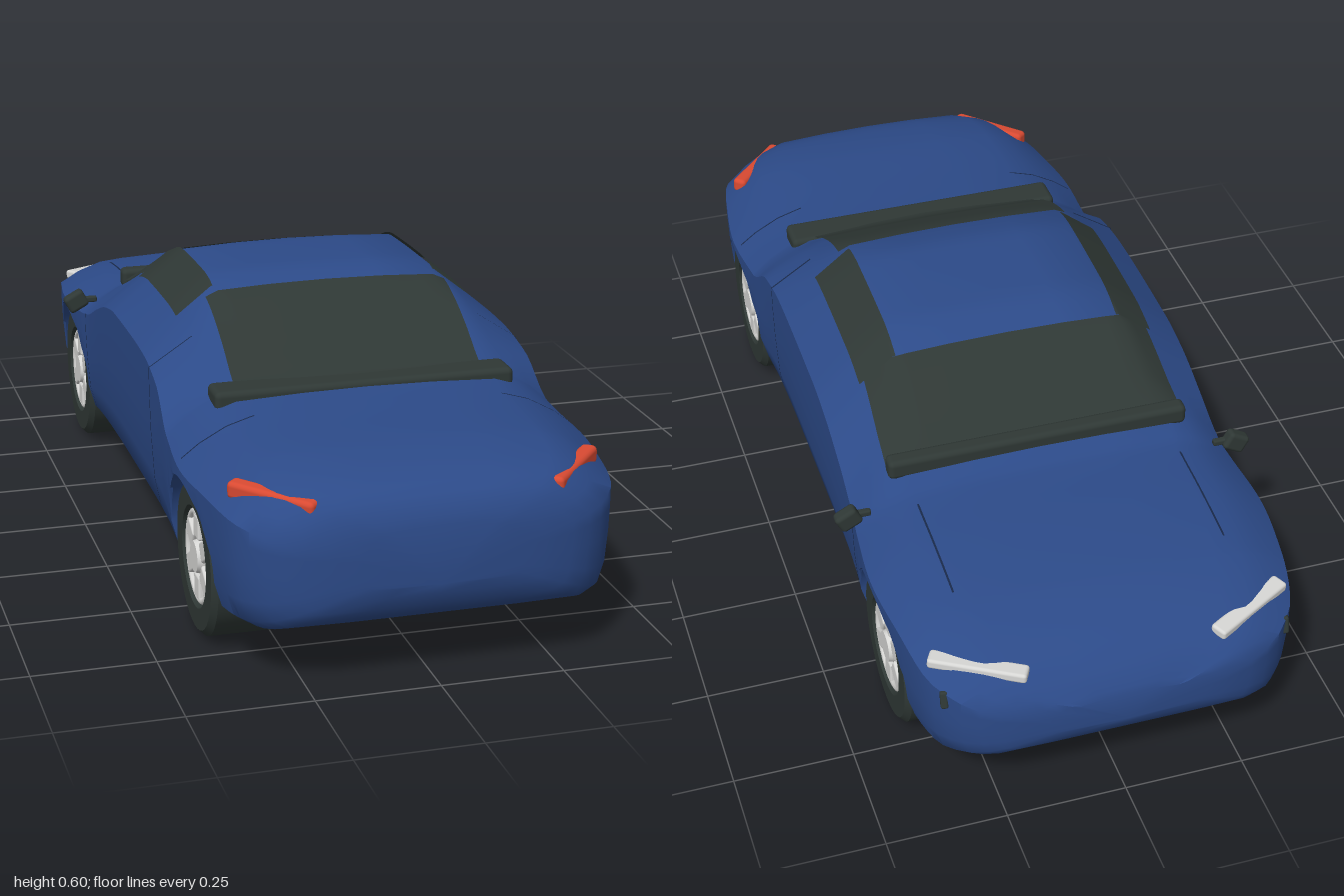
import * as THREE from 'three';
import { toCreasedNormals } from 'three/addons/utils/BufferGeometryUtils.js';
import { RoundedBoxGeometry } from 'three/addons/geometries/RoundedBoxGeometry.js';

const mat = (name, color, side = THREE.FrontSide) => {
  const m = new THREE.MeshStandardMaterial({ color, side });
  m.name = name;
  return m;
};
const paint = mat('blue paint', 0x2c4a88, THREE.DoubleSide);
const dark = mat('dark glass and rubber', 0x2f3835, THREE.DoubleSide);
const seamBlue = mat('seam navy', 0x182848, THREE.DoubleSide);
const red = mat('tail light red', 0xd94a32);
const silver = mat('silver', 0xd6d6d4);
const grey = mat('rim grey', 0x8c9090);

// Body stations: z, half width, underside y, shoulder y, roof edge x, top y
const stations = [
  [-1, .16, .2, .24, .1, .27], [-.985, .26, .165, .265, .16, .295],
  [-.95, .33, .133, .287, .2, .33], [-.88, .382, .108, .31, .23, .368],
  [-.78, .404, .098, .335, .25, .396], [-.62, .421, .095, .345, .27, .414],
  [-.48, .411, .095, .35, .28, .422], [-.42, .405, .095, .36, .29, .446],
  [-.32, .403, .095, .4, .27, .505], [-.2, .403, .095, .44, .25, .566],
  [-.1, .403, .095, .455, .24, .597], [.1, .403, .095, .458, .24, .602],
  [.2, .403, .095, .455, .25, .58], [.34, .405, .095, .43, .27, .512],
  [.46, .411, .095, .36, .28, .447], [.62, .421, .095, .345, .26, .437],
  [.78, .403, .098, .34, .26, .431], [.88, .383, .108, .332, .25, .418],
  [.95, .335, .13, .317, .22, .398], [.985, .265, .165, .3, .17, .368],
  [1, .16, .21, .28, .1, .33],
];
const WHEEL_Z = 0.625, ARCH_R = 0.167, AXLE_Y = 0.16;

// Smooth interpolation of one station column without overshoot
function sample(col, z) {
  const n = stations.length;
  let i = 0;
  while (i < n - 2 && z > stations[i + 1][0]) i++;
  const secant = k => (stations[k + 1][col] - stations[k][col]) / (stations[k + 1][0] - stations[k][0]);
  const slope = k => {
    if (k === 0) return secant(0);
    if (k === n - 1) return secant(n - 2);
    const a = secant(k - 1), b = secant(k);
    return a * b <= 0 ? 0 : 2 * a * b / (a + b);
  };
  const h = stations[i + 1][0] - stations[i][0], t = (z - stations[i][0]) / h, u = 1 - t;
  return u * u * (1 + 2 * t) * stations[i][col] + t * t * (3 - 2 * t) * stations[i + 1][col]
    + h * t * u * (u * slope(i) - t * slope(i + 1));
}

// Half cross-section from the underside centre to the top centre
function halfSection(z) {
  const [w, yb, ys, xt, yt] = [1, 2, 3, 4, 5].map(c => sample(c, z));
  const h = ys - yb, rise = yt - .008 - ys;
  const bulge = .014 * THREE.MathUtils.clamp((.5 - yt) / .05, 0, 1);
  const upper = k => [w + (xt - w) * k, ys + rise * k + bulge * Math.sin(Math.PI * k)];
  return [[0, yb], [.5 * w, yb], [.86 * w, yb + .002], [.945 * w, yb + .1 * h], [.98 * w, yb + .3 * h],
    [.995 * w, yb + .6 * h], [w, yb + .85 * h], [w, ys], upper(.3), upper(.65), [xt, yt - .008],
    [xt * .5, yt - .002], [0, yt]];
}

// Height of the upper body at (x, z)
function heightAt(x, z) {
  const p = halfSection(z).slice(7);
  const ax = Math.abs(x);
  for (let i = 0; i < p.length - 1; i++) {
    if (ax <= p[i][0] && ax >= p[i + 1][0]) {
      const t = (ax - p[i][0]) / (p[i + 1][0] - p[i][0] || 1);
      return p[i][1] + t * (p[i + 1][1] - p[i][1]);
    }
  }
  return p[0][1];
}

function archAt(z) {
  const d = Math.abs(Math.abs(z) - WHEEL_Z);
  return d <= ARCH_R + 1e-7 ? AXLE_Y + Math.sqrt(Math.max(0, ARCH_R ** 2 - d * d)) : 0;
}

function geometryFrom(pos, idx, crease) {
  const g = new THREE.BufferGeometry();
  g.setAttribute('position', new THREE.Float32BufferAttribute(pos, 3));
  g.setIndex(idx);
  return toCreasedNormals(g, crease);
}

// Lofted shell with wheel arches cut up through the underside
function bodyGeometry() {
  const zs = [-1, -.994, -.985, -.97, .97, .985, .994, 1];
  for (let z = -.95; z < .96; z += .025) {
    if (Math.abs(Math.abs(z) - WHEEL_Z) > ARCH_R + .004) zs.push(z);
  }
  for (const s of [-1, 1]) {
    for (let k = 0; k <= 20; k++) zs.push(s * WHEEL_Z + ARCH_R * Math.cos(k * Math.PI / 20));
    for (const e of [-1, 1]) zs.push(s * WHEEL_Z + e * (ARCH_R + .0005));
  }
  zs.sort((a, b) => a - b);
  const pos = [], idx = [];
  let n = 0;
  for (const z of zs) {
    const half = halfSection(z).map(([x, y]) => [x, Math.max(y, archAt(z))]);
    const ring = [...half, ...half.slice(1, -1).reverse().map(([x, y]) => [-x, y])];
    n = ring.length;
    ring.forEach(([x, y]) => pos.push(x, y, z));
  }
  for (let i = 0; i < zs.length - 1; i++) for (let j = 0; j < n; j++) {
    const a = i * n + j, b = i * n + (j + 1) % n;
    idx.push(a, b, b + n, a, b + n, a + n);
  }
  const last = (zs.length - 1) * n;
  for (let j = 1; j < n - 1; j++) idx.push(0, j + 1, j, last, last + j, last + j + 1);
  return geometryFrom(pos, idx, .7);
}

// Thin panel that follows the upper body between two z values
function patch(z0, z1, x0, x1, lift = .007, nx = 20) {
  const pos = [], idx = [], nz = 20;
  for (let i = 0; i <= nz; i++) for (let j = 0; j <= nx; j++) {
    const z = z0 + (z1 - z0) * i / nz, t = i / nz;
    const x = x0(t) + (x1(t) - x0(t)) * j / nx;
    pos.push(x, heightAt(x, z) + lift, z);
    if (i < nz && j < nx) {
      const a = i * (nx + 1) + j, b = a + nx + 1;
      idx.push(a, b, b + 1, a, b + 1, a + 1);
    }
  }
  return geometryFrom(pos, idx, .7);
}

// Narrow strip running up the body side at one z
function sideSeam(z, from, to, s) {
  const pos = [], idx = [];
  halfSection(z).slice(from, to).forEach(([x, y], i) => {
    for (const e of [-.002, .002]) pos.push(s * (x + .002), y + .001, z + e);
    if (i) idx.push(2 * i - 2, 2 * i - 1, 2 * i + 1, 2 * i - 2, 2 * i + 1, 2 * i);
  });
  return geometryFrom(pos, idx, .7);
}

export function createModel() {
  const car = new THREE.Group();
  car.name = 'car';
  const add = (name, geo, material, parent = car) => {
    const m = new THREE.Mesh(geo, material);
    m.name = name;
    parent.add(m);
    return m;
  };
  // Rounded bar between two points
  const bar = (name, a, b, h, d, material) => {
    const p = new THREE.Vector3(...a), q = new THREE.Vector3(...b), dir = q.clone().sub(p);
    const m = add(name, new RoundedBoxGeometry(dir.length(), h, d, 2, Math.min(h, d) * .3), material);
    m.position.copy(p).add(q).multiplyScalar(.5);
    m.quaternion.setFromUnitVectors(new THREE.Vector3(1, 0, 0), dir.normalize());
    return m;
  };

  add('body', bodyGeometry(), paint);

  // Glass and its lower trims
  add('rearWindow', patch(.2, .47, () => -.265, () => .265), dark);
  add('windscreen', patch(-.42, -.2, t => -.325 + .01 * t, t => .325 - .01 * t), dark);
  bar('rearWindowTrim', [-.318, .434, .465], [.318, .434, .465], .042, .08, dark);
  bar('windscreenTrim', [-.325, .447, -.41], [.325, .447, -.41], .045, .04, dark);

  for (const s of [-1, 1]) {
    add('sideWindow', patch(-.2, .18, () => s * .245, () => s * .325), dark);
    // Door, bonnet and rear wing seams
    add('doorRearSeam', sideSeam(.275, 3, 10, s), seamBlue);
    add('doorFrontSeam', sideSeam(-.435, 3, 8, s), seamBlue);
    add('bonnetSeam', patch(-.75, -.5, () => s * .283, () => s * .287, .002, 1), seamBlue);
    add('wingSeam', patch(.588, .592, () => s * .26, () => s * .41, .002), seamBlue);

    // Lights
    bar('tailLight', [s * .235, .367, .957], [s * .365, .373, .812], .036, .034, red);
    bar('headlight', [s * .195, .33, -.952], [s * .368, .334, -.856], .022, .036, silver);
    bar('sideVent', [s * .355, .262, -.923], [s * .355, .3, -.915], .016, .02, dark);

    // Door mirror
    bar('mirrorArm', [s * .375, .385, -.462], [s * .42, .385, -.462], .014, .014, dark);
    bar('mirror', [s * .402, .394, -.465], [s * .446, .37, -.465], .042, .03, dark);

    // Wheels
    for (const e of [-1, 1]) {
      const wheel = new THREE.Group();
      wheel.name = e > 0 ? 'rearWheel' : 'frontWheel';
      wheel.position.set(s * .28, AXLE_Y, e * WHEEL_Z);
      wheel.rotation.z = -s * Math.PI / 2;
      car.add(wheel);
      const profile = [[0, -.115], [.148, -.115], [.16, -.103], [.16, .103], [.148, .115], [.104, .115],
        [.1, .096], [0, .096]].map(([x, y]) => new THREE.Vector2(x, y));
      add('tyre', toCreasedNormals(new THREE.LatheGeometry(profile, 40), .6), dark, wheel);
      add('rimBack', new THREE.CylinderGeometry(.093, .093, .006, 32), grey, wheel).position.y = .097;
      const ring = add('rimRing', new THREE.TorusGeometry(.091, .007, 8, 36), silver, wheel);
      ring.rotation.x = Math.PI / 2;
      ring.position.y = .104;
      add('hub', new THREE.CylinderGeometry(.032, .037, .018, 24), silver, wheel).position.y = .106;
      for (let k = 0; k < 6; k++) {
        const spoke = add('spoke', new RoundedBoxGeometry(.05, .014, .042, 2, .005), silver, wheel);
        const a = k * Math.PI / 3;
        spoke.position.set(.064 * Math.cos(a), .104, .064 * Math.sin(a));
        spoke.rotation.y = -a;
      }
    }
  }
  return car;
}
